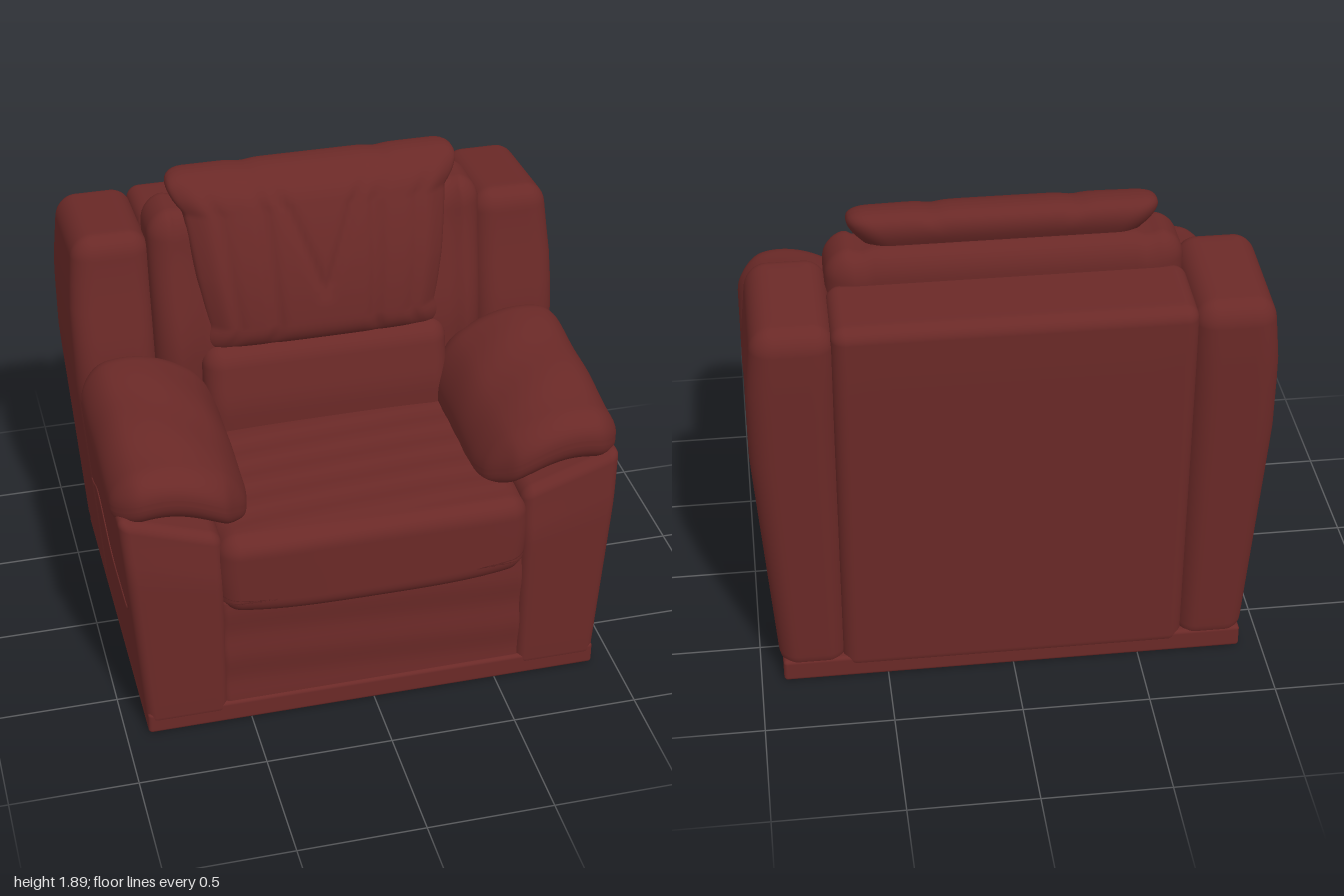
import * as THREE from 'three';
import { mergeVertices } from 'three/addons/utils/BufferGeometryUtils.js';

const leather = new THREE.MeshStandardMaterial({ color: 0x6a2927 });
const { clamp, lerp, smoothstep } = THREE.MathUtils;
const bump = (v, centre, width) => Math.exp(-(((v - centre) / width) ** 2));

// Linear interpolation through [position, value] stops
function along(stops, v) {
  for (let i = 1; i < stops.length; i++) {
    const [a, va] = stops[i - 1], [b, vb] = stops[i];
    if (v <= b) return lerp(va, vb, clamp((v - a) / (b - a), 0, 1));
  }
  return stops[stops.length - 1][1];
}

// Finely divided rounded box between two corners, shaped by a rule.
// side = -1 builds the mirrored twin.
function cushion(name, x, y, z, r, rule, n = 20, side = 1) {
  const half = [x, y, z].map(([a, b]) => (b - a) / 2);
  const mid = [x, y, z].map(([a, b]) => (a + b) / 2);
  r = Math.min(r, ...half.map(h => h * 0.98));
  let geo = new THREE.BoxGeometry(2, 2, 2, n, n, n);
  const pos = geo.attributes.position;
  const p = new THREE.Vector3(), core = new THREE.Vector3();
  const edge = 1 - 10 / n; // five divisions go into each rounded edge
  for (let i = 0; i < pos.count; i++) {
    p.fromBufferAttribute(pos, i);
    for (let k = 0; k < 3; k++) {
      const u = p.getComponent(k), a = Math.abs(u), flat = half[k] - r;
      const d = a > edge ? flat + r * Math.tan((a - edge) / (1 - edge) * Math.PI / 4) : flat * a / edge;
      p.setComponent(k, Math.sign(u) * d);
      core.setComponent(k, clamp(p.getComponent(k), -flat, flat));
    }
    p.sub(core).setLength(r).add(core);
    p.set(side * p.x + mid[0], p.y + mid[1], p.z + mid[2]);
    if (rule) rule(p);
    pos.setXYZ(i, side * p.x, p.y, p.z);
  }
  geo.deleteAttribute('uv');
  geo.deleteAttribute('normal');
  geo = mergeVertices(geo, 1e-5);
  geo.computeVertexNormals();
  const mesh = new THREE.Mesh(geo, leather);
  mesh.name = name;
  return mesh;
}

// The chair widens and deepens slightly from the floor up
const flare = y => 0.075 * (1 - clamp(y / 1.05, 0, 1));
const backLean = p => { p.z += 0.05 * (1 - clamp(p.y / 1.4, 0, 1)) * clamp((-p.z - 0.3) / 0.45, 0, 1); };

function createSide(side) {
  const group = new THREE.Group();
  group.name = side > 0 ? 'leftSide' : 'rightSide';

  // Arm body with its top sloping down toward the seat
  group.add(cushion('armBody', [0.59, 0.985], [0.03, 1.02], [-0.5, 0.737], 0.045, p => {
    const out = (p.x - 0.59) / 0.395;
    p.x -= flare(p.y) * out;
    p.z -= 0.025 * smoothstep(p.y, 0.75, 1.02) * clamp(p.z / 0.7, 0, 1);
    p.y -= 0.14 * (1 - out) * smoothstep(p.y, 0.4, 1);
  }, 24, side));

  // Tall rear corner post
  group.add(cushion('backPost', [0.66, 0.992], [0.03, 1.67], [-0.77, -0.14], 0.09, p => {
    const out = (p.x - 0.66) / 0.332;
    p.x -= (flare(p.y) + 0.025 * smoothstep(p.y, 1.3, 1.67)) * out;
    const front = clamp((p.z + 0.77) / 0.63, 0, 1);
    p.z -= 0.1 * smoothstep(p.y, 1.05, 1.65) * front;
    p.y -= 0.04 * smoothstep(p.y, 1.3, 1.6) * (1 - front);
    backLean(p);
  }, 24, side));

  // Arm pad draped over the arm body
  group.add(cushion('armPad', [0.45, 0.995], [-0.125, 0.125], [-0.15, 0.715], 0.11, p => {
    const front = smoothstep(p.z, 0.2, 0.72);
    p.z -= 0.05 * bump(p.x, 0.45, 0.12) * front + 0.03 * bump(p.x, 1, 0.08) * front;
    p.x += 0.05 * bump(p.x, 0.45, 0.1) * smoothstep(p.z, 0.45, 0.72);
    p.y *= 1 - 0.15 * front;
    p.y += 1.1 - 1.6 * (p.x - 0.8) ** 2 - 0.025 * front;
    p.y += 0.015 * smoothstep(-p.z, -0.3, 0.15) + 0.004 * Math.sin(p.z * 17 + p.x * 9);
  }, 28, side));

  // Wavy seam across the outer panel
  const seam = [[0.66, 0.6], [0.6, 0.53], [0.42, 0.51], [0.22, 0.52], [0, 0.66], [-0.16, 0.6],
    [-0.36, 0.58], [-0.56, 0.62], [-0.64, 0.72]]
    .map(([z, y]) => new THREE.Vector3(side * (0.985 - flare(y)), y, z));
  const tube = new THREE.Mesh(
    new THREE.TubeGeometry(new THREE.CatmullRomCurve3(seam), 48, 0.005, 6), leather);
  tube.name = 'sideSeam';
  group.add(tube);
  return group;
}

export function createModel() {
  const chair = new THREE.Group();
  chair.name = 'armchair';

  // Base and front panel
  chair.add(cushion('plinth', [-0.912, 0.912], [0, 0.095], [-0.72, 0.735], 0.015));
  chair.add(cushion('frontPanel', [-0.61, 0.61], [0.05, 0.6], [-0.4, 0.722], 0.03, p => {
    p.z += 0.004 * Math.sin(p.y * 28 + p.x * 1.5) * smoothstep(p.z, 0.6, 0.7);
  }, 30));

  // Seat cushion with a rolled, bulging front
  chair.add(cushion('seatCushion', [-0.605, 0.605], [0.51, 0.885], [-0.3, 0.775], 0.075, p => {
    const u = Math.abs(p.x) / 0.605;
    p.z -= 0.025 * u ** 4 * smoothstep(p.z, 0.4, 0.75);
    p.y += 0.025 * u ** 3 * (p.y < 0.6 ? 1 : -0.6);
    p.y += 0.003 * Math.sin(p.z * 42 + p.x * 3) * smoothstep(p.y, 0.8, 0.88);
    p.x += 0.012 * Math.sign(p.x) * u * bump(p.y, 0.7, 0.12);
  }, 40));

  // Rear shell between the posts
  chair.add(cushion('backShell', [-0.675, 0.675], [0.03, 1.645], [-0.772, -0.42], 0.055, p => {
    p.y -= 0.015 * smoothstep(p.y, 1.4, 1.6) * clamp((-p.z - 0.45) / 0.3, 0, 1);
    backLean(p);
  }));

  // Winged inner back
  chair.add(cushion('innerBack', [-0.672, 0.672], [0.82, 1.765], [-0.47, -0.09], 0.11, p => {
    const front = clamp((p.z + 0.47) / 0.38, 0, 1);
    p.z -= 0.1 * smoothstep(p.y, 1.15, 1.75) * front;
    p.z -= 0.03 * bump(Math.abs(p.x), 0.54, 0.025) * front;
    p.y -= 0.02 * bump(Math.abs(p.x), 0.54, 0.03) * smoothstep(p.y, 1.5, 1.7);
  }, 40));

  // Lumbar cushion
  chair.add(cushion('lumbarCushion', [-0.5, 0.5], [0.78, 1.22], [-0.32, 0.015], 0.08, p => {
    p.z -= 0.04 * smoothstep(p.y, 0.95, 1.2);
  }));

  // Pleated head cushion, flared and curled backward at the top
  const width = [[1.19, 0.52], [1.3, 0.465], [1.5, 0.5], [1.75, 0.53], [1.82, 0.585], [1.89, 0.65]];
  chair.add(cushion('headCushion', [-0.5, 0.5], [1.185, 1.89], [-0.12, 0.12], 0.11, p => {
    const u = p.x / 0.5, a = Math.abs(u), t = (p.y - 1.185) / 0.705;
    const front = smoothstep(p.z, 0.03, 0.11);
    const inside = smoothstep(t, 0, 0.12) * (1 - smoothstep(t, 0.8, 1));
    const vFold = bump(a, 0.02 + 0.5 * Math.max(t - 0.35, 0), 0.045) * smoothstep(t, 0.25, 0.4);
    const pleats = 0.016 * bump(a, 0.42, 0.05) + 0.014 * vFold + 0.01 * bump(a, 0.75, 0.05);
    p.z -= front * inside * pleats + 0.03 * a ** 3 * front;
    p.z += -0.15 - 0.19 * t * t;
    p.x = u * along(width, p.y);
    p.y -= 0.008 * bump(a, 0.42, 0.06) * smoothstep(t, 0.8, 1);
  }, 56));

  // Arms and posts on both sides
  for (const side of [1, -1]) chair.add(createSide(side));
  return chair;
}
